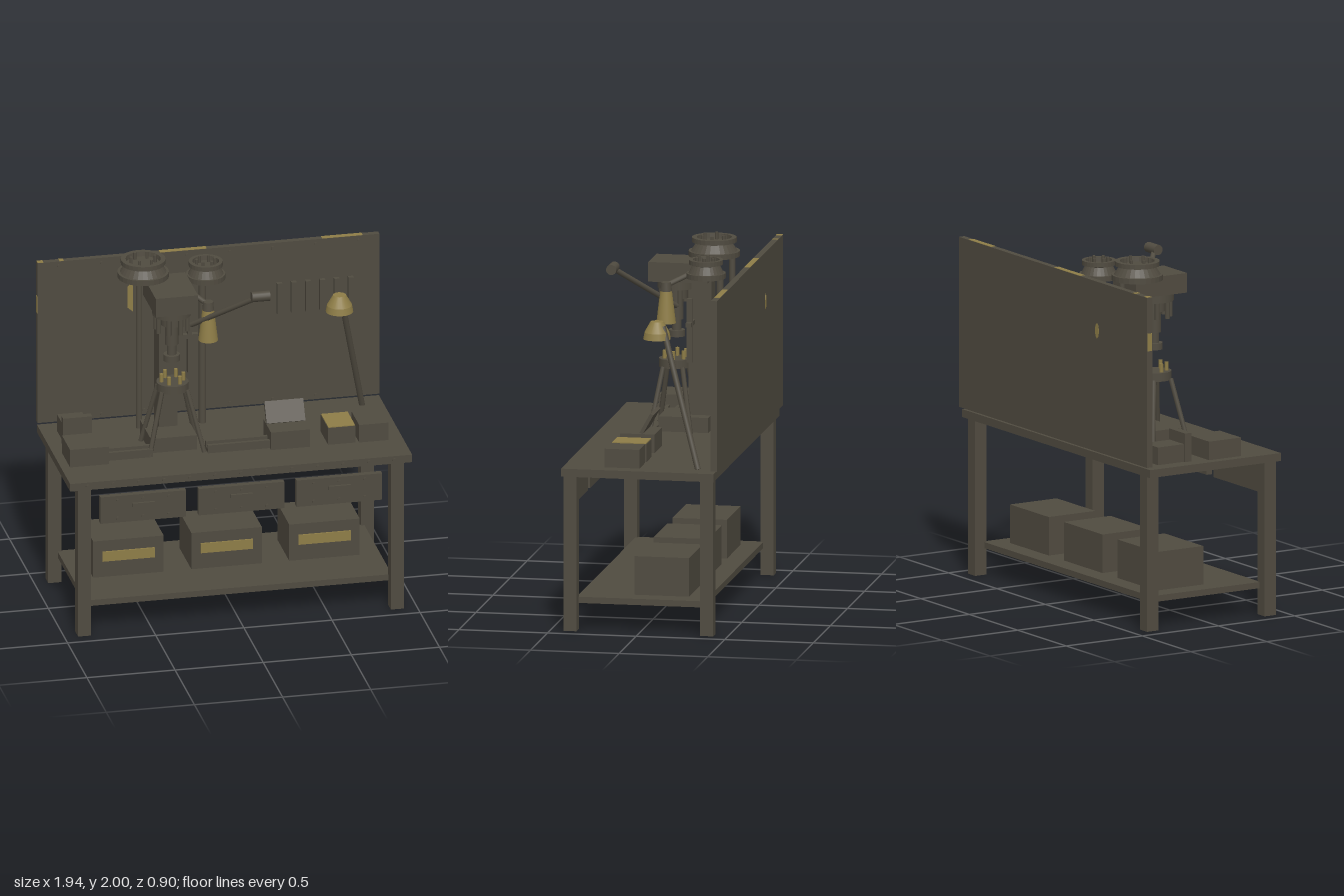
import * as THREE from 'three';

export function createModel() {
  const model = new THREE.Group();
  const iron = new THREE.MeshStandardMaterial({ color: 0x504b40 });
  iron.name = 'dark iron';
  const brass = new THREE.MeshStandardMaterial({ color: 0x8e7d47, side: THREE.DoubleSide });
  brass.name = 'worn brass';

  const add = (name, geo, mat = iron, parent = model) => {
    const m = new THREE.Mesh(geo, mat);
    m.name = name;
    parent.add(m);
    return m;
  };
  // box given by its limits on each axis
  const box = (name, x0, x1, y0, y1, z0, z1, mat) => {
    const m = add(name, new THREE.BoxGeometry(x1 - x0, y1 - y0, z1 - z0), mat);
    m.position.set((x0 + x1) / 2, (y0 + y1) / 2, (z0 + z1) / 2);
    return m;
  };
  // upright cylinder or cone from y0 to y1
  const cyl = (name, x, z, y0, y1, r0, r1 = r0, mat = iron, sides = 20) => {
    const m = add(name, new THREE.CylinderGeometry(r1, r0, y1 - y0, sides), mat);
    m.position.set(x, (y0 + y1) / 2, z);
    return m;
  };
  // round or square bar between two points
  const bar = (name, a, b, r, sides = 10, mat = iron) => {
    const p = new THREE.Vector3(...a), q = new THREE.Vector3(...b);
    const m = add(name, new THREE.CylinderGeometry(r, r, p.distanceTo(q), sides), mat);
    m.position.copy(p).add(q).multiplyScalar(0.5);
    m.quaternion.setFromUnitVectors(new THREE.Vector3(0, 1, 0), q.sub(p).normalize());
    return m;
  };
  const bolt = (name, x, y, z, r = 0.01) => bar(name, [x, y, z - 0.006], [x, y, z + 0.009], r, 8);

  // bench
  box('tabletop', -0.97, 0.97, 0.88, 0.925, -0.43, 0.43);
  box('lowerShelf', -0.87, 0.87, 0.15, 0.185, -0.36, 0.36);
  for (const s of [-1, 1]) {
    for (const z of [-0.383, 0.388]) {
      box('benchLeg', s * 0.887 - 0.037, s * 0.887 + 0.037, 0, 0.88, z - 0.037, z + 0.037);
    }
  }
  for (let i = 0; i < 13; i++) bolt('edgeBolt', -0.87 + i * 0.145, 0.902, 0.43, 0.012);

  // drawers with handles and screws, storage boxes with labels
  for (const x of [-0.557, 0, 0.555]) {
    box('drawerFront', x - 0.243, x + 0.243, 0.674, 0.833, 0.405, 0.44);
    box('drawerHandle', x - 0.062, x + 0.062, 0.763, 0.785, 0.44, 0.453);
    for (const dx of [-0.145, 0, 0.145]) {
      for (const y of [0.7, 0.807]) bolt('drawerScrew', x + dx, y, 0.44);
    }
    box('storageBox', x - 0.2, x + 0.2, 0.185, 0.403, -0.252, 0.055);
    box('boxLabel', x - 0.148, x + 0.148, 0.28, 0.338, 0.055, 0.064, brass);
  }

  // back panel with bolts and worn brass patches
  box('backPanel', -0.97, 0.97, 0.94, 1.903, -0.45, -0.415);
  for (let i = 0; i < 8; i++) {
    for (const y of [0.965, 1.875]) bolt('panelBolt', -0.85 + i * 0.243, y, -0.415);
  }
  for (const [x0, x1] of [[-0.275, -0.01], [0.645, 0.875], [-0.845, -0.82], [-0.968, -0.935]]) {
    box('topPatch', x0, x1, 1.902, 1.905, -0.449, -0.416, brass);
  }
  box('sidePatch', -0.972, -0.968, 1.6, 1.7, -0.448, -0.418, brass);
  const patch = new THREE.Shape([[-0.46, 1.59], [-0.43, 1.565], [-0.43, 1.745], [-0.46, 1.715]]
    .map(p => new THREE.Vector2(...p)));
  add('frontPatch', new THREE.ShapeGeometry(patch), brass).position.z = -0.412;
  const backPatch = add('backPatch', new THREE.CylinderGeometry(0.02, 0.02, 0.004, 8), brass);
  backPatch.rotation.x = Math.PI / 2;
  backPatch.scale.z = 2.2;
  backPatch.position.set(-0.455, 1.625, -0.45);

  // tool rack
  for (let i = 0; i < 6; i++) {
    const x = 0.4 + i * 0.081;
    box('hangingTool', x - 0.015, x + 0.015, 1.482, 1.665, -0.415, -0.39);
  }

  // drill press
  box('pressBase', -0.44, -0.178, 0.925, 1.01, -0.18, 0.1);
  box('pressColumn', -0.36, -0.255, 0.925, 1.78, -0.185, -0.055);
  box('pressHead', -0.425, -0.185, 1.767, 1.878, -0.175, 0.16);
  const sx = -0.305, sz = 0.022;
  cyl('spindleFlange', sx, sz, 1.72, 1.77, 0.108);
  cyl('spindleHousing', sx, sz, 1.66, 1.72, 0.06);
  cyl('spindleSleeve', sx, sz, 1.54, 1.66, 0.037);
  cyl('spindleShaft', sx, sz, 1.47, 1.54, 0.026);
  cyl('chuck', sx, sz, 1.443, 1.48, 0.046);
  for (let i = 0; i < 8; i++) {
    const a = (i + 0.5) * Math.PI / 4;
    cyl('flangeRod', sx + 0.088 * Math.cos(a), sz + 0.088 * Math.sin(a), 1.625, 1.72, 0.014, 0.014, iron, 8);
  }

  // work stand with brass pins and splayed legs
  const wx = -0.302, wz = 0.03;
  cyl('standPlate', wx, wz, 1.272, 1.32, 0.09);
  for (let i = 0; i < 6; i++) {
    const a = i * Math.PI / 3;
    cyl('standPin', wx + 0.062 * Math.cos(a), wz + 0.062 * Math.sin(a), 1.32, 1.367, 0.011, 0.011, brass, 8);
  }
  for (const i of [-1, 1]) {
    for (const j of [-1, 1]) {
      bar('standLeg', [wx + i * 0.072, 1.28, wz + j * 0.055], [wx + i * 0.155, 0.925, wz + j * 0.115], 0.014, 6);
    }
  }

  // pulleys on poles, each a lathe profile with a recessed top
  const pulley = (x, z, y, r, h) => {
    const prof = [[0, 0], [1, 0], [1, 0.25], [0.9, 0.25], [0.7, 0.62], [0.87, 0.66], [0.87, 0.88],
      [0.68, 0.88], [0.66, 0.66], [0, 0.66]].map(p => new THREE.Vector2(p[0] * r, p[1] * h));
    const geo = new THREE.LatheGeometry(prof, 28).toNonIndexed();
    geo.computeVertexNormals();
    add('pulley', geo).position.set(x, y, z);
    for (let i = 0; i < 6; i++) {
      const a = i * Math.PI / 3;
      cyl('pulleyBolt', x + r * 0.48 * Math.cos(a), z + r * 0.48 * Math.sin(a),
        y + h * 0.64, y + h, 0.009, 0.009, iron, 8);
    }
  };
  pulley(-0.425, -0.167, 1.88, 0.143, 0.12);
  pulley(-0.065, -0.19, 1.825, 0.109, 0.118);
  cyl('pulleyPole', -0.426, -0.268, 0.925, 1.88, 0.017);
  cyl('pulleyPole', -0.067, -0.268, 0.925, 1.825, 0.02);

  // feed lever and depth bar
  bar('feedLever', [-0.19, 1.635, 0], [0.125, 1.895, 0.295], 0.015);
  bar('leverGrip', [0.088, 1.9, 0.297], [0.19, 1.9, 0.297], 0.029, 16);
  box('depthBar', -0.195, -0.172, 1.32, 1.68, -0.092, -0.06);
  box('depthBracket', -0.26, -0.135, 1.525, 1.55, -0.09, -0.06);

  // press lamp
  cyl('pressLampShade', -0.102, 0.043, 1.555, 1.735, 0.055, 0.033, brass);
  cyl('pressLampCap', -0.102, 0.043, 1.735, 1.785, 0.033, 0.028);
  bar('pressLampArm', [-0.102, 1.765, 0.043], [-0.2, 1.82, -0.08], 0.015);

  // bench lamp
  cyl('benchLampShade', 0.664, -0.053, 1.617, 1.655, 0.077, 0.07, brass);
  cyl('benchLampShade', 0.664, -0.053, 1.655, 1.715, 0.07, 0.036, brass);
  bar('benchLampArm', [0.68, 1.69, -0.09], [0.85, 0.925, -0.32], 0.017);

  // slide rails beside the press
  for (const [x0, x1, z0, z1] of [[-0.7, -0.44, 0.075, 0.155], [-0.13, 0.22, 0.09, 0.17]]) {
    box('slidePlate', x0, x1, 0.925, 0.945, z0, z1);
    box('slideRail', x0, x1, 0.945, 0.972, z0, z0 + 0.02);
    box('slideRail', x0, x1, 0.945, 0.972, z1 - 0.02, z1);
  }

  // boxes on the bench
  box('leftBox', -0.92, -0.7, 0.925, 1.03, -0.01, 0.2);
  box('stopBlock', -0.88, -0.737, 0.925, 1.025, -0.32, -0.15);
  box('stopPlate', -0.892, -0.727, 0.925, 1.087, -0.15, -0.108);
  box('instrumentBox', 0.22, 0.44, 0.925, 1.03, 0.003, 0.2);
  const lid = add('instrumentLid', new THREE.BoxGeometry(0.22, 0.125, 0.02));
  lid.position.set(0.33, 1.088, 0.05);
  lid.rotation.x = -0.5;
  box('partsBox', 0.545, 0.7, 0.925, 1.026, 0, 0.195);
  box('partsBoxTop', 0.547, 0.698, 1.026, 1.031, 0.002, 0.193, brass);
  box('rightBox', 0.72, 0.887, 0.925, 1.03, 0.003, 0.2);

  return model;
}
